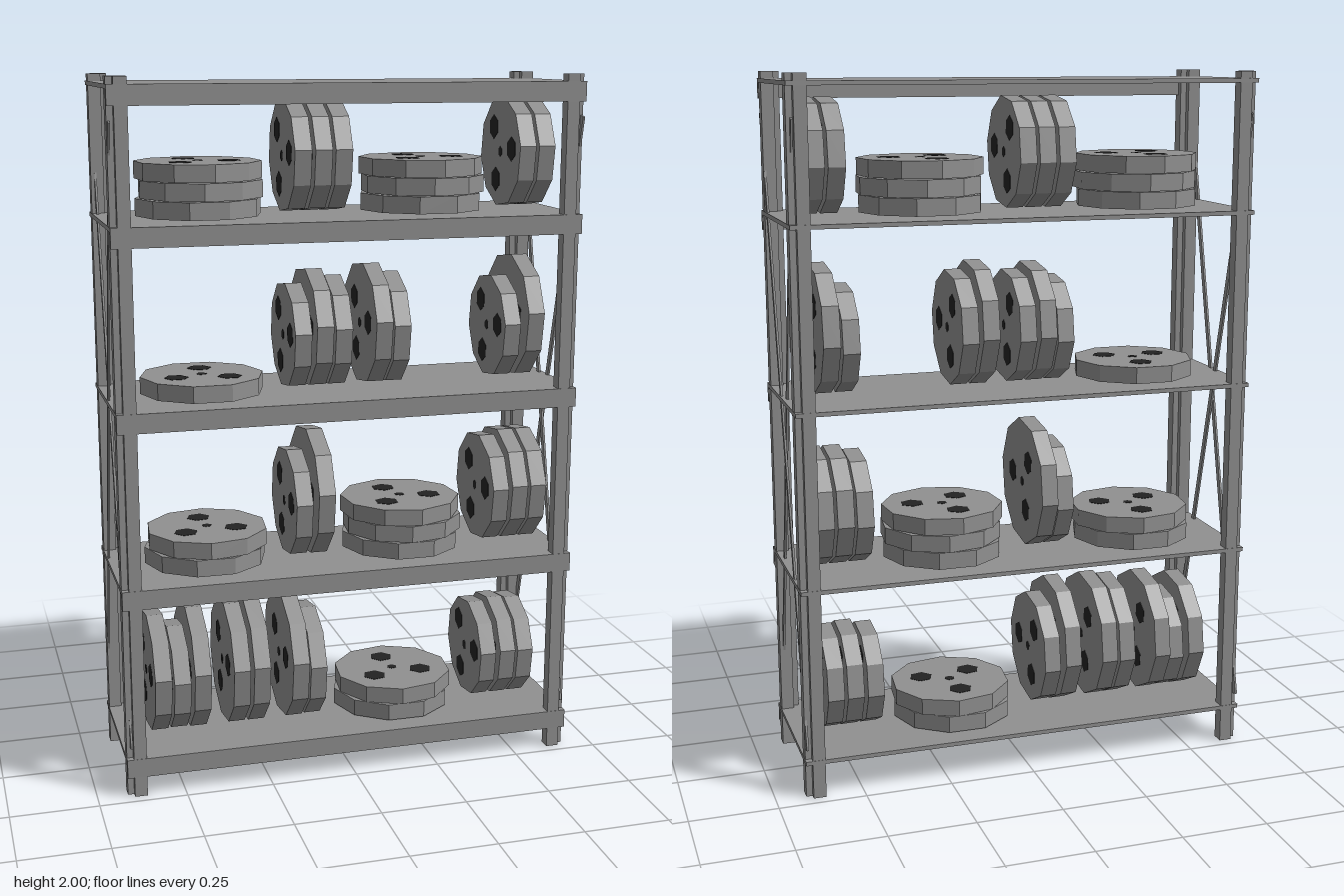
import * as THREE from 'three';

const grey = new THREE.MeshStandardMaterial({ color: 0x909090, flatShading: true });
const dark = new THREE.MeshStandardMaterial({ color: 0x222222, flatShading: true });

function add(parent, name, geometry, x, y, z, material = grey) {
  const mesh = new THREE.Mesh(geometry, material);
  mesh.name = name;
  mesh.position.set(x, y, z);
  parent.add(mesh);
  return mesh;
}

// Ten-sided reel lying flat, with three large dark holes and a small centre one
function makeReel(radius, thickness) {
  const reel = new THREE.Group();
  reel.name = 'reel';
  add(reel, 'reelBody', new THREE.CylinderGeometry(radius, radius, thickness, 10), 0, 0, 0);
  const depth = thickness + 0.002;
  const hole = new THREE.CylinderGeometry(0.035, 0.035, depth, 6);
  for (let i = 0; i < 3; i++) {
    const a = 0.1 + i * Math.PI * 2 / 3;
    add(reel, 'reelHole', hole, 0.087 * Math.cos(a), 0, 0.087 * Math.sin(a), dark);
  }
  add(reel, 'reelCentre', new THREE.CylinderGeometry(0.015, 0.015, depth, 6), 0, 0, 0, dark);
  return reel;
}

// Square post, notched along its outer and inner corners
function postGeometry() {
  const w = 0.027, n = 0.009;
  const corners = [[-w, -w], [n, -w], [n, -n], [w, -n], [w, w], [-n, w], [-n, n], [-w, n]];
  const shape = new THREE.Shape(corners.map(([x, y]) => new THREE.Vector2(x, y)));
  const geometry = new THREE.ExtrudeGeometry(shape, { depth: 2, bevelEnabled: false });
  return geometry.rotateX(-Math.PI / 2);
}

// Contents per shelf: upright reels as [x, diameter], stacks as [x, count]
const SHELVES = [
  { top: 0.113,
    upright: [[-0.55, 0.355], [-0.492, 0.315], [-0.437, 0.37], [-0.323, 0.37], [-0.265, 0.38],
      [-0.15, 0.38], [-0.092, 0.335], [0.44, 0.3], [0.5, 0.31], [0.557, 0.305]],
    stacks: [[0.18, 2]] },
  { top: 0.613,
    upright: [[-0.13, 0.32], [-0.072, 0.38], [0.463, 0.325], [0.52, 0.34], [0.577, 0.34]],
    stacks: [[-0.388, 2], [0.205, 3]] },
  { top: 1.113,
    upright: [[-0.13, 0.305], [-0.072, 0.345], [-0.015, 0.325], [0.098, 0.355], [0.155, 0.33],
      [0.49, 0.305], [0.55, 0.365]],
    stacks: [[-0.388, 1]] },
  { top: 1.613,
    upright: [[-0.13, 0.315], [-0.072, 0.315], [-0.015, 0.315], [0.52, 0.315], [0.577, 0.315]],
    stacks: [[-0.388, 3], [0.258, 3]] },
  { top: 1.98, upright: [], stacks: [] },
];

export function createModel() {
  const model = new THREE.Group();
  model.name = 'storageRack';

  // Four corner posts, turned so that a notch faces outwards
  const post = postGeometry();
  for (const sx of [-1, 1]) for (const sz of [-1, 1]) {
    const mesh = add(model, 'post', post, sx * 0.637, 0, sz * 0.194);
    mesh.rotation.y = sx === sz ? 0 : Math.PI / 2;
  }

  // Shelf boards, front beams and their contents
  for (const { top, upright, stacks } of SHELVES) {
    add(model, 'shelfBoard', new THREE.BoxGeometry(1.33, 0.012, 0.444), 0, top - 0.006, 0);
    add(model, 'frontBeam', new THREE.BoxGeometry(1.33, 0.055, 0.02), 0, top - 0.0275, 0.212);

    for (const [x, diameter] of upright) {
      const radius = diameter / 2;
      const reel = makeReel(radius, 0.048);
      reel.rotation.set(0.48, 0, -Math.PI / 2);
      reel.position.set(x, top + 0.007 + radius, 0.01);
      model.add(reel);
    }
    for (const [x, count] of stacks) {
      for (let i = 0; i < count; i++) {
        const reel = makeReel(0.177, 0.048);
        reel.rotation.y = Math.PI / 2 + i * 0.2;
        reel.position.set(x + (i % 2 ? 0.004 : -0.002), top + 0.031 + i * 0.05, 0);
        model.add(reel);
      }
    }
  }

  // Crossed braces on both ends
  const angle = Math.atan2(0.43, 1.74);
  const brace = new THREE.BoxGeometry(0.006, Math.hypot(0.43, 1.74), 0.018);
  for (const sx of [-1, 1]) for (const dir of [-1, 1]) {
    add(model, 'crossBrace', brace, sx * (0.655 + dir * 0.004), 1.015, 0).rotation.x = dir * angle;
  }
  return model;
}
